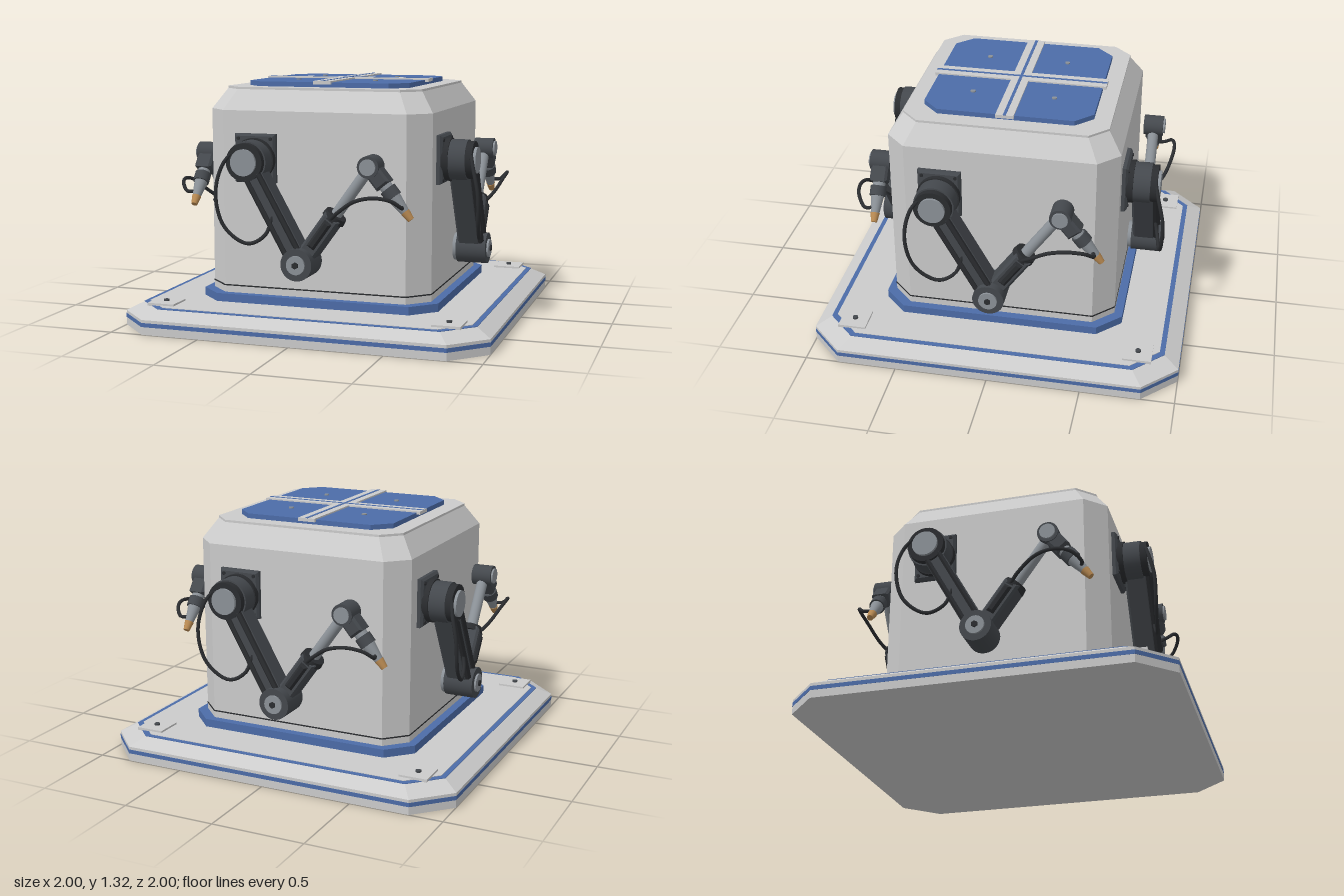
import * as THREE from 'three';

const mat = (color) => new THREE.MeshStandardMaterial({ color });
const LIGHT = mat(0xcccccc), BLUE = mat(0x4c6ca8), DARK = mat(0x44484d), BLACK = mat(0x2b2d30),
  STEEL = mat(0x8b9197), TAN = mat(0xb98a52);

function add(parent, name, geometry, material, x = 0, y = 0, z = 0) {
  const mesh = new THREE.Mesh(geometry, material);
  mesh.name = name;
  mesh.position.set(x, y, z);
  parent.add(mesh);
  return mesh;
}

// Chamfered-square loft; each level is [y, half width, chamfer]
function octLoft(levels) {
  const rings = levels.map(([y, h, ch]) => {
    const c = h - ch;
    return [[h, -c], [h, c], [c, h], [-c, h], [-h, c], [-h, -c], [-c, -h], [c, -h]].map(([x, z]) => [x, y, z]);
  });
  const out = [], top = rings.length - 1;
  for (let i = 0; i < 8; i++) {
    const j = (i + 1) % 8;
    for (let k = 0; k < top; k++) {
      const a = rings[k][i], b = rings[k][j], at = rings[k + 1][i], bt = rings[k + 1][j];
      out.push(...a, ...at, ...bt, ...a, ...bt, ...b);
    }
    out.push(0, levels[0][0], 0, ...rings[0][i], ...rings[0][j]);
    out.push(0, levels[top][0], 0, ...rings[top][j], ...rings[top][i]);
  }
  const g = new THREE.BufferGeometry();
  g.setAttribute('position', new THREE.Float32BufferAttribute(out, 3));
  g.computeVertexNormals();
  return g;
}

// Cylinder along z between two depths
function disc(parent, name, x, y, r, z0, z1, material, sides = 32) {
  const g = new THREE.CylinderGeometry(r, r, z1 - z0, sides).rotateX(Math.PI / 2);
  return add(parent, name, g, material, x, y, (z0 + z1) / 2);
}

// Chamfered bar from a to b in the xy plane, between two depths
function link(parent, name, a, b, w, z0, z1, material) {
  const len = Math.hypot(b[0] - a[0], b[1] - a[1]), h = w / 2, c = 0.012, d = z1 - z0;
  const s = new THREE.Shape();
  s.moveTo(0, -h); s.lineTo(len, -h); s.lineTo(len, h); s.lineTo(0, h);
  const g = new THREE.ExtrudeGeometry(s, { depth: d - 2 * c, bevelThickness: c, bevelSize: c, bevelOffset: -c, bevelSegments: 1 });
  const m = add(parent, name, g, material, a[0], a[1], z0 + c);
  m.rotation.z = Math.atan2(b[1] - a[1], b[0] - a[0]);
  return m;
}

// Round rod, tapering from r0 at a to r1 at b, in the plane z
function rod(parent, name, a, b, r0, r1, z, material) {
  const len = Math.hypot(b[0] - a[0], b[1] - a[1]);
  const m = add(parent, name, new THREE.CylinderGeometry(r1, r0, len, 24), material,
    (a[0] + b[0]) / 2, (a[1] + b[1]) / 2, z);
  m.rotation.z = Math.atan2(b[1] - a[1], b[0] - a[0]) - Math.PI / 2;
}

function cable(parent, name, points) {
  const curve = new THREE.CatmullRomCurve3(points.map((p) => new THREE.Vector3(...p)));
  add(parent, name, new THREE.TubeGeometry(curve, 40, 0.01, 8), BLACK);
}

function robotArm() {
  const arm = new THREE.Group();
  arm.name = 'robotArm';
  const S = [-0.315, 0.905], E = [-0.025, 0.385], W = [0.345, 0.9], Z = 0.71;
  const along = (a, b, t) => [a[0] + (b[0] - a[0]) * t, a[1] + (b[1] - a[1]) * t];

  // Wall mount and shoulder
  link(arm, 'mountPlate', [-0.43, 0.91], [-0.2, 0.91], 0.26, 0.6, 0.648, DARK);
  for (const dx of [-0.09, 0.09]) for (const dy of [-0.105, 0.105])
    disc(arm, 'mountBolt', S[0] + dx, 0.91 + dy, 0.01, 0.64, 0.654, BLACK, 6);
  disc(arm, 'shoulderFlange', ...S, 0.115, 0.64, 0.675, BLACK);
  disc(arm, 'shoulderHousing', ...S, 0.108, 0.675, 0.765, DARK);
  disc(arm, 'shoulderRim', ...S, 0.1, 0.765, 0.8, BLACK);
  disc(arm, 'shoulderCap', ...S, 0.07, 0.8, 0.815, STEEL);

  // Upper arm with raised side rails
  link(arm, 'upperArm', S, E, 0.105, 0.66, 0.785, DARK);
  const n = [0.873, 0.487];
  for (const s of [-0.036, 0.036]) {
    const off = (p) => [p[0] + n[0] * s, p[1] + n[1] * s];
    link(arm, 'upperArmRail', off(along(S, E, 0.13)), off(along(S, E, 0.92)), 0.026, 0.76, 0.805, BLACK);
  }

  // Elbow
  disc(arm, 'elbowRear', ...E, 0.075, 0.63, 0.66, STEEL);
  disc(arm, 'elbowHousing', ...E, 0.085, 0.65, 0.815, DARK);
  disc(arm, 'elbowCap', ...E, 0.05, 0.815, 0.826, STEEL);
  disc(arm, 'elbowPin', ...E, 0.018, 0.826, 0.834, BLACK, 6);

  // Forearm: block, collar and rod
  const F = [0.155, 0.635];
  link(arm, 'forearmBlock', E, F, 0.095, 0.655, 0.77, DARK);
  link(arm, 'forearmRib', along(E, F, 0.35), along(E, F, 0.9), 0.045, 0.75, 0.785, BLACK);
  rod(arm, 'forearmCollar', along(E, F, 0.93), along(E, F, 1.04), 0.064, 0.06, Z, BLACK);
  rod(arm, 'forearmRod', F, W, 0.03, 0.03, Z, STEEL);

  // Wrist and tool
  const T = [0.56, 0.635];
  disc(arm, 'wristHousing', ...W, 0.057, 0.655, 0.765, DARK);
  disc(arm, 'wristCap', ...W, 0.042, 0.765, 0.775, STEEL);
  link(arm, 'wristBlock', W, along(W, T, 0.36), 0.085, 0.662, 0.758, DARK);
  rod(arm, 'wristCollar', along(W, T, 0.36), along(W, T, 0.42), 0.034, 0.034, Z, STEEL);
  rod(arm, 'toolHolder', along(W, T, 0.42), along(W, T, 0.58), 0.044, 0.044, Z, DARK);
  rod(arm, 'toolNozzle', along(W, T, 0.58), along(W, T, 0.87), 0.036, 0.022, Z, STEEL);
  rod(arm, 'toolTip', along(W, T, 0.85), T, 0.025, 0.017, Z, TAN);

  // Hoses
  cable(arm, 'upperHose', [[-0.36, 0.98, 0.78], [-0.43, 0.89, 0.81], [-0.455, 0.74, 0.845],
    [-0.41, 0.57, 0.84], [-0.29, 0.485, 0.82], [-0.2, 0.53, 0.8], [-0.165, 0.63, 0.775]]);
  cable(arm, 'lowerHose', [[0.14, 0.62, 0.76], [0.2, 0.67, 0.8], [0.3, 0.735, 0.83],
    [0.4, 0.755, 0.832], [0.48, 0.74, 0.81], [0.525, 0.7, 0.765], [0.51, 0.7, 0.72]]);
  return arm;
}

export function createModel() {
  const model = new THREE.Group();
  model.name = 'roboticWorkCell';

  // Base platform
  add(model, 'baseSlab', octLoft([[0, 1, 0.18], [0.08, 1, 0.18], [0.122, 0.92, 0.155]]), LIGHT);
  add(model, 'baseStripe', octLoft([[0.042, 1.001, 0.18], [0.064, 1.001, 0.18]]), BLUE);
  add(model, 'deckStripe', octLoft([[0.1, 0.92, 0.155], [0.125, 0.92, 0.155]]), BLUE);
  add(model, 'deck', octLoft([[0.1, 0.893, 0.145], [0.128, 0.893, 0.145]]), LIGHT);

  // Corner pads
  for (const x of [-0.78, 0.78]) for (const z of [-0.78, 0.78]) {
    add(model, 'cornerPad', new THREE.BoxGeometry(0.152, 0.016, 0.152), LIGHT, x, 0.13, z);
    add(model, 'padBolt', new THREE.CylinderGeometry(0.015, 0.015, 0.012, 12), DARK, x, 0.142, z);
  }

  // Cabinet
  add(model, 'plinth', octLoft([[0.12, 0.662, 0.125], [0.172, 0.662, 0.125]]), BLUE);
  add(model, 'cabinet', octLoft([[0.17, 0.617, 0.11], [1.16, 0.617, 0.11], [1.268, 0.545, 0.095], [1.28, 0.545, 0.095]]), LIGHT);
  add(model, 'cabinetSeam', octLoft([[0.208, 0.619, 0.11], [0.215, 0.619, 0.11]]), BLACK);

  // Roof panel with cross rails
  add(model, 'roofPanel', octLoft([[1.275, 0.452, 0.09], [1.306, 0.452, 0.09]]), BLUE);
  for (const turn of [0, Math.PI / 2]) {
    const cross = new THREE.Group();
    cross.name = 'roofCross';
    cross.rotation.y = turn;
    add(cross, 'roofRail', new THREE.BoxGeometry(0.945, 0.018, 0.096), LIGHT, 0, 1.305, 0);
    add(cross, 'roofRailStripe', new THREE.BoxGeometry(0.943, 0.004, 0.016), BLUE, 0, 1.3135, 0);
    model.add(cross);
  }
  for (const x of [-0.22, 0.22]) for (const z of [-0.22, 0.22])
    add(model, 'roofBolt', new THREE.CylinderGeometry(0.014, 0.014, 0.008, 12), STEEL, x, 1.308, z);

  // One arm on each side
  for (let i = 0; i < 4; i++) {
    const arm = robotArm();
    arm.rotation.y = i * Math.PI / 2;
    model.add(arm);
  }
  return model;
}
